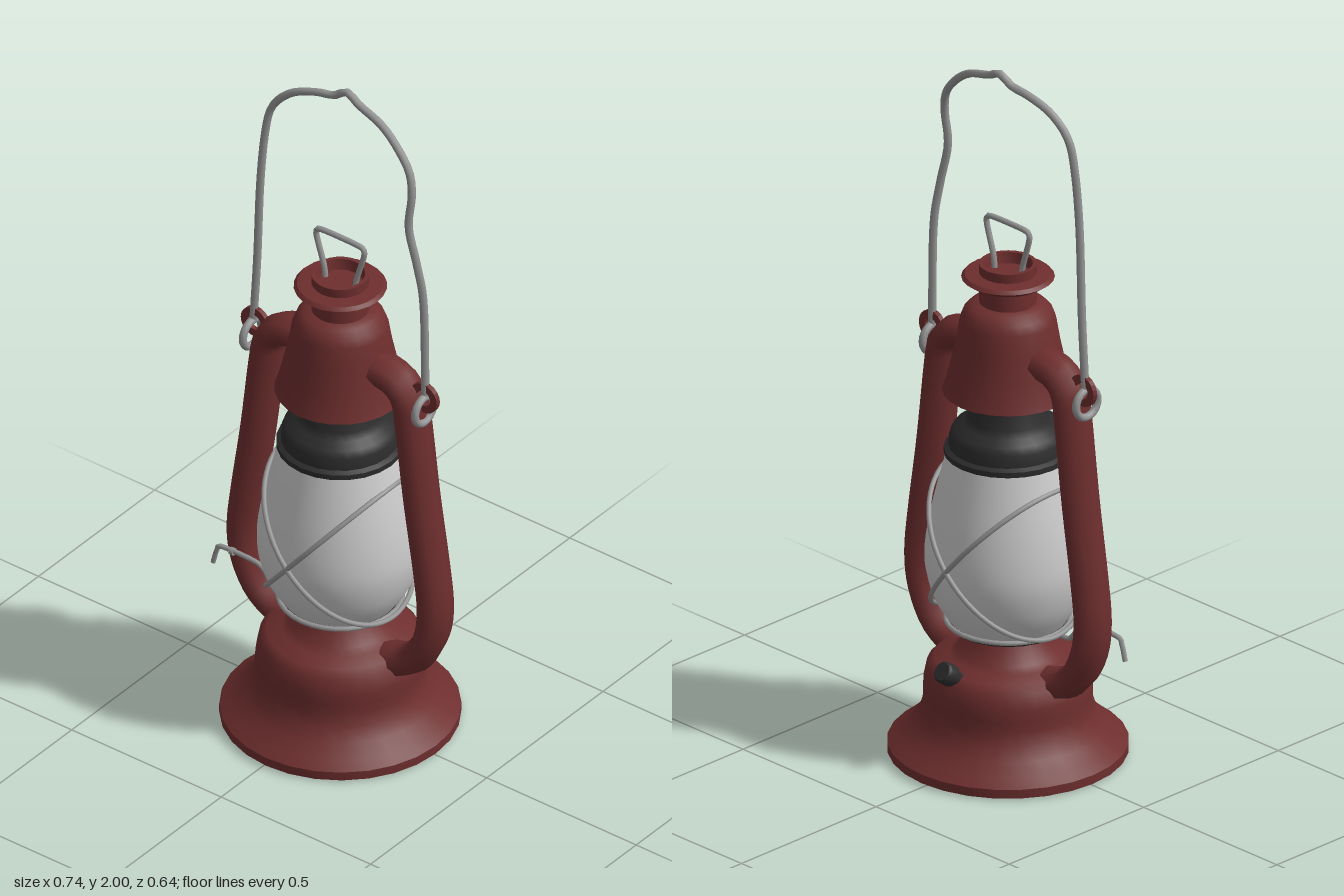
import * as THREE from 'three';
import { toCreasedNormals } from 'three/addons/utils/BufferGeometryUtils.js';

const paint = (color) => new THREE.MeshStandardMaterial({ color, side: THREE.DoubleSide });
const RED = paint(0x6e2e2e), BLACK = paint(0x2c2c2c), GLASS = paint(0xcccccc), STEEL = paint(0x959595);
const AXIS = 0.01; // x of the lantern body

function add(parent, name, geometry, material) {
  const mesh = new THREE.Mesh(geometry, material);
  mesh.name = name;
  parent.add(mesh);
  return mesh;
}

// Turned part from [radius, height] pairs
function turned(parent, name, profile, material, segments = 24) {
  const lathe = new THREE.LatheGeometry(profile.map(([r, y]) => new THREE.Vector2(r, y)), segments);
  return add(parent, name, toCreasedNormals(lathe, 0.7), material);
}

// Round wire through [x, y, z] points
function wire(parent, name, points, radius, steps, closed = false, material = STEEL, tension = 0.5) {
  const path = new THREE.CatmullRomCurve3(points.map((p) => new THREE.Vector3(...p)), closed, 'catmullrom', tension);
  return add(parent, name, new THREE.TubeGeometry(path, steps, radius, 8, closed), material);
}

export function createModel() {
  const model = new THREE.Group();
  model.name = 'lantern';
  const body = new THREE.Group();
  body.name = 'body';
  body.position.x = AXIS;
  model.add(body);

  // Fuel tank with flared foot and burner cone
  turned(body, 'tank', [
    [0, 0.02], [0.3, 0.015], [0.31, 0], [0.32, 0.005], [0.32, 0.03], [0.295, 0.05], [0.26, 0.08], [0.235, 0.115],
    [0.225, 0.15], [0.226, 0.18], [0.224, 0.21], [0.215, 0.255], [0.195, 0.275], [0.155, 0.285],
    [0.135, 0.3], [0.095, 0.36], [0.09, 0.375], [0, 0.375],
  ], RED, 28);

  // Glass globe between dark seat and dark collar
  turned(body, 'globeSeat', [[0, 0.37], [0.155, 0.37], [0.163, 0.378], [0.163, 0.388], [0, 0.388]], BLACK);
  const globe = new THREE.SplineCurve([
    [0.155, 0.385], [0.195, 0.45], [0.218, 0.53], [0.22, 0.6], [0.207, 0.69], [0.185, 0.785], [0.16, 0.88],
  ].map((p) => new THREE.Vector2(...p)));
  turned(body, 'globe', globe.getPoints(18).map((p) => [p.x, p.y]), GLASS, 32);
  turned(body, 'collar', [
    [0.15, 0.87], [0.17, 0.87], [0.17, 0.885], [0.158, 0.892], [0.155, 0.925], [0.145, 0.945], [0.12, 0.957],
    [0.106, 0.975], [0.104, 1.1],
  ], BLACK);

  // Hood and chimney
  turned(body, 'hood', [
    [0.1, 1.1], [0.155, 1.075], [0.168, 1.05], [0.175, 1.053], [0.167, 1.075], [0.153, 1.13], [0.138, 1.2],
    [0.128, 1.26], [0.118, 1.285], [0.1, 1.303], [0.077, 1.31], [0.075, 1.36], [0.1, 1.366],
    [0.124, 1.382], [0.115, 1.391], [0.077, 1.394], [0.077, 1.42], [0.066, 1.42], [0.06, 1.39], [0, 1.385],
  ], RED);
  wire(body, 'chimneyLoop', [
    [-0.05, 1.39, 0], [-0.056, 1.43, 0], [-0.077, 1.5, 0], [-0.08, 1.525, 0], [-0.066, 1.535, 0], [0, 1.537, 0],
    [0.066, 1.535, 0], [0.08, 1.525, 0], [0.077, 1.5, 0], [0.056, 1.43, 0], [0.05, 1.39, 0],
  ], 0.008, 48);

  for (const side of [-1, 1]) {
    const label = side > 0 ? 'left' : 'right';

    // Side air tube, deeper than it is wide
    const tube = wire(body, label + 'AirTube', [
      [0.08, 1.165, 0], [0.14, 1.172, 0], [0.195, 1.158, 0], [0.23, 1.12, 0], [0.245, 1.04, 0], [0.272, 0.82, 0],
      [0.305, 0.6, 0], [0.318, 0.48, 0], [0.308, 0.39, 0], [0.27, 0.31, 0], [0.22, 0.268, 0], [0.16, 0.25, 0],
    ].map(([x, y, z]) => [side * x, y, z]), 0.044, 44, false, RED);
    tube.geometry.scale(1, 1, 1.3);

    // Pierced ear carrying the handle
    const ear = new THREE.Shape().absarc(0, 0, 0.045, 0, Math.PI * 2);
    ear.holes.push(new THREE.Path().absarc(0, 0, 0.023, 0, Math.PI * 2, true));
    const earMesh = add(body, label + 'Ear',
      new THREE.ExtrudeGeometry(ear, { depth: 0.014, bevelEnabled: false, curveSegments: 10 }), RED);
    earMesh.position.set(side * 0.283, 1.142, -0.007);

    // Eye bent into the handle end
    const eye = add(model, label + 'HandleEye', new THREE.TorusGeometry(0.04, 0.011, 8, 20), STEEL);
    eye.rotation.y = Math.PI / 2;
    eye.position.set(side * 0.288 + 0.007, 1.105, 0.005);

    // Guard wire wrapped diagonally round the globe
    const guard = [];
    for (let i = 0; i < 24; i++) {
      const a = (i / 24) * Math.PI * 2;
      const x = Math.cos(a);
      guard.push([side * (0.177 * x + 0.006 * (1 - x * x)), 0.598 + 0.212 * x, 0.232 * Math.sin(a)]);
    }
    wire(body, label + 'GuardWire', guard, 0.007, 72, true);
  }

  // Ring joining the guard wires under the globe
  const ring = add(body, 'guardRing', new THREE.TorusGeometry(0.165, 0.007, 8, 32), STEEL);
  ring.rotation.x = Math.PI / 2;
  ring.position.y = 0.385;

  // Hand-bent carrying handle
  wire(model, 'handle', [
    [-0.281, 1.14, 0], [-0.268, 1.35, 0], [-0.254, 1.6, 0.005], [-0.241, 1.77, 0], [-0.22, 1.86, -0.005],
    [-0.165, 1.92, -0.015], [-0.09, 1.95, -0.025], [-0.035, 1.96, -0.03], [0.005, 1.985, -0.035],
    [0.05, 1.965, -0.03], [0.13, 1.94, -0.022], [0.19, 1.9, -0.012], [0.238, 1.845, -0.003], [0.254, 1.78, 0.006],
    [0.25, 1.68, 0.014], [0.272, 1.56, 0.006], [0.286, 1.43, -0.004], [0.295, 1.14, 0],
  ], 0.011, 90);

  // Wick lever with its small collar
  wire(model, 'wickLever', [
    [-0.365, 0.36, 0.065], [-0.352, 0.405, 0.065], [-0.335, 0.422, 0.065], [-0.23, 0.422, 0.065],
    [-0.195, 0.408, 0.065], [-0.165, 0.365, 0.065], [-0.14, 0.354, 0.065], [-0.04, 0.354, 0.065],
  ], 0.007, 48);
  const collar = add(model, 'leverCollar', new THREE.CylinderGeometry(0.011, 0.011, 0.012, 10), STEEL);
  collar.rotation.z = Math.PI / 2;
  collar.position.set(-0.3, 0.422, 0.065);

  // Filler neck and cap at the back of the tank
  const filler = new THREE.Group();
  filler.name = 'filler';
  filler.position.set(0, 0.26, -0.18);
  filler.rotation.x = -0.95;
  body.add(filler);
  turned(filler, 'fillerNeck', [[0.02, -0.03], [0.02, 0.045]], BLACK, 12);
  turned(filler, 'fillerCap', [[0, 0.04], [0.03, 0.04], [0.03, 0.075], [0.025, 0.081], [0, 0.081]], BLACK, 12);

  return model;
}
